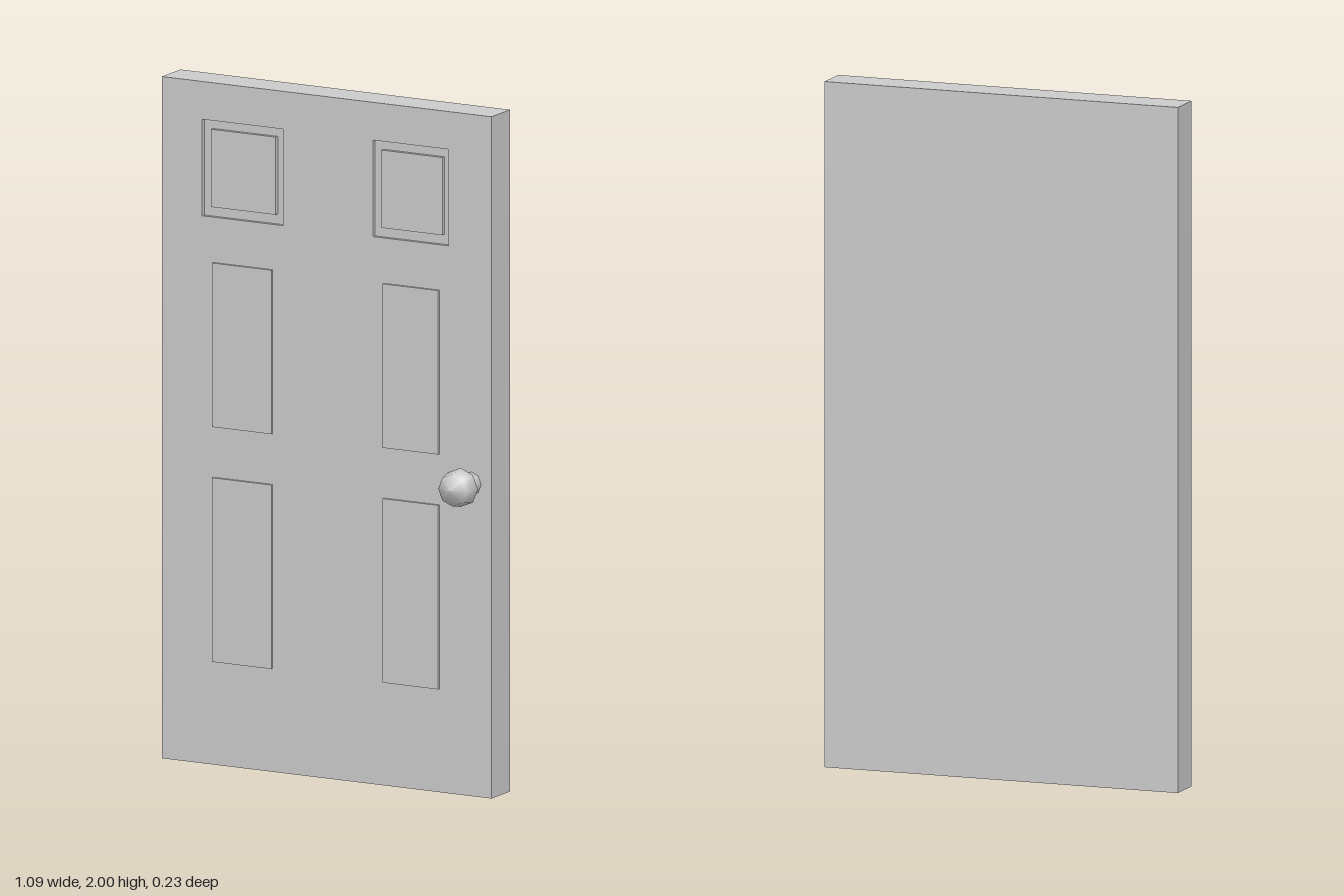
import * as THREE from 'three';

const material = new THREE.MeshStandardMaterial({ color: 0xcccccc });

// Depths: slab back, recess floor, slab front, raised panel face
const BACK = -0.116, FLOOR = -0.02, FRONT = -0.008, RAISED = 0;

function add(group, name, geometry) {
  const mesh = new THREE.Mesh(geometry, material);
  mesh.name = name;
  group.add(mesh);
  return mesh;
}

// Box given by its limits
function block(x0, x1, y0, y1, z0, z1) {
  return new THREE.BoxGeometry(x1 - x0, y1 - y0, z1 - z0)
    .translate((x0 + x1) / 2, (y0 + y1) / 2, (z0 + z1) / 2);
}

function rectangle(target, x0, x1, y0, y1) {
  target.moveTo(x0, y0);
  target.lineTo(x1, y0);
  target.lineTo(x1, y1);
  target.lineTo(x0, y1);
  target.closePath();
  return target;
}

export function createModel() {
  const door = new THREE.Group();
  door.name = 'door';

  // Slab: solid core plus a front skin pierced by the two upper recesses
  const L = -0.543, R = 0.543;
  add(door, 'doorCore', block(L, R, 0, 2, BACK, FLOOR));
  const skin = rectangle(new THREE.Shape(), L, R, 0, 2);
  const recesses = [
    { outer: [-0.41, -0.144], inner: [-0.381, -0.168] },
    { outer: [0.153, 0.401], inner: [0.18, 0.381] },
  ];
  for (const { outer } of recesses) {
    skin.holes.push(rectangle(new THREE.Path(), ...outer, 1.606, 1.889));
  }
  const skinGeometry = new THREE.ExtrudeGeometry(skin, { depth: FRONT - FLOOR, bevelEnabled: false });
  add(door, 'doorFrontSkin', skinGeometry.translate(0, 0, FLOOR));

  // Centre fields standing inside the recesses
  for (const { inner } of recesses) {
    add(door, 'upperPanel', block(...inner, 1.635, 1.863, FLOOR, FRONT));
  }

  // Raised middle and lower panels
  for (const [x0, x1] of [[-0.373, -0.178], [0.189, 0.371]]) {
    add(door, 'middlePanel', block(x0, x1, 0.992, 1.473, FRONT - 0.004, RAISED));
    add(door, 'lowerPanel', block(x0, x1, 0.303, 0.843, FRONT - 0.004, RAISED));
  }

  // Eight-sided knob on a short neck
  const knob = new THREE.Group();
  knob.name = 'knob';
  knob.position.set(0.475, 0.917, 0);
  const neck = new THREE.CylinderGeometry(0.034, 0.034, 0.034, 8);
  add(knob, 'knobNeck', neck.rotateX(Math.PI / 2).translate(0, 0, 0.005));
  const profile = [[0, 0.003], [0.033, 0.018], [0.057, 0.052], [0.047, 0.099], [0, 0.115]]
    .map(([r, h]) => new THREE.Vector2(r, h));
  add(knob, 'knobBall', new THREE.LatheGeometry(profile, 8).rotateX(Math.PI / 2));
  door.add(knob);

  return door;
}
